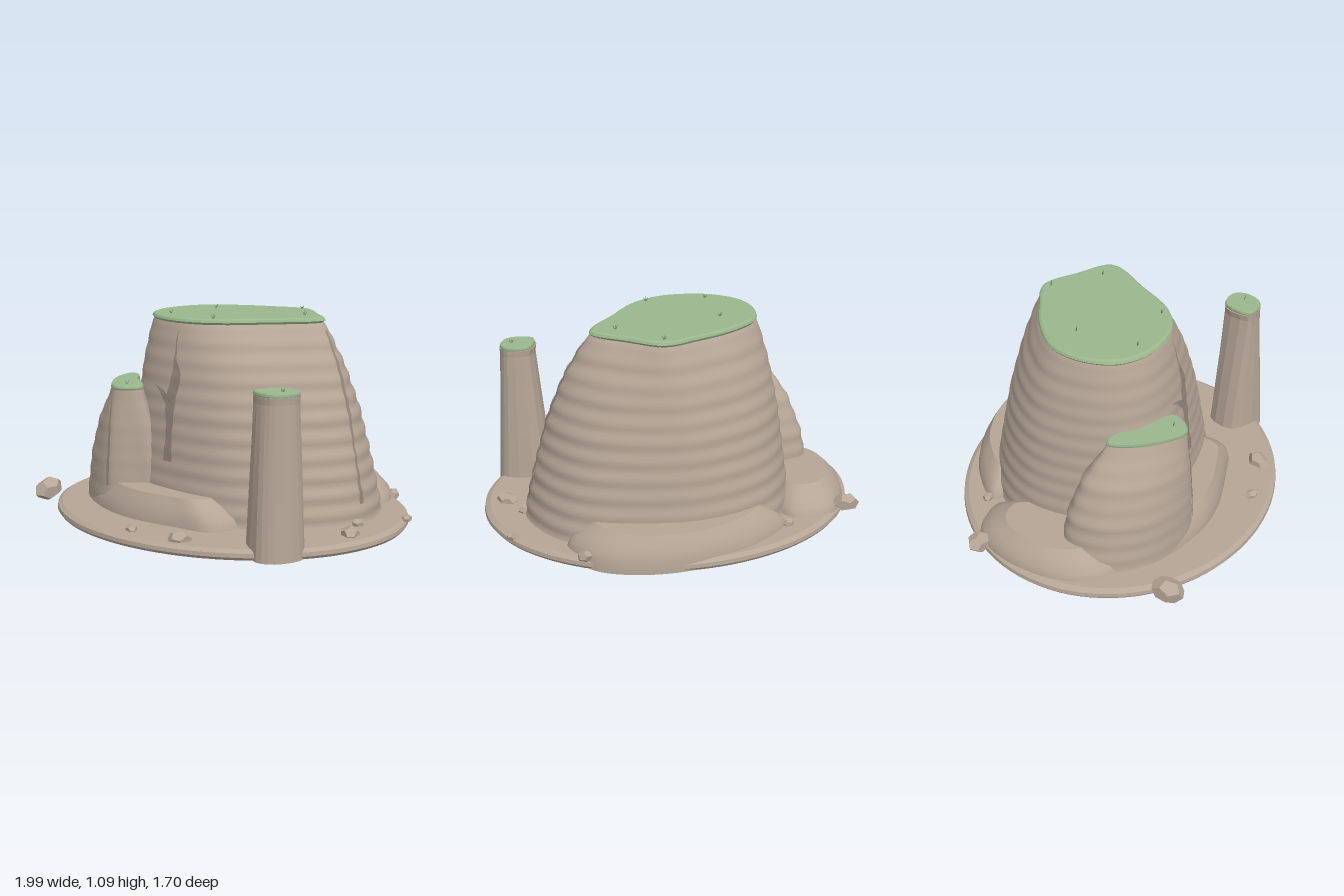
import * as THREE from 'three';

const rock = new THREE.MeshStandardMaterial({ color: 0xb5a596 });
rock.name = 'tan rock';
const moss = new THREE.MeshStandardMaterial({ color: 0x9ab68c });
moss.name = 'pale green grass';
const shade = new THREE.MeshStandardMaterial({ color: 0x94867a, side: THREE.DoubleSide });
shade.name = 'crack brown';
const blade = new THREE.MeshStandardMaterial({ color: 0x6b8560 });
blade.name = 'grass blade green';

// A closed outline of [x, z] points, counter-clockwise seen from above
const outline = pts => new THREE.CatmullRomCurve3(
  pts.map(([x, z]) => new THREE.Vector3(x, 0, z)), true, 'centripetal');

// Builds a blend between a top and a bottom outline; profile is [y, spread] from low to high
function makeWall(top, bottom, profile, ripple = 0) {
  const a = outline(top), b = outline(bottom);
  const spread = y => {
    let i = 1;
    while (i < profile.length - 1 && y > profile[i][0]) i++;
    const [y0, f0] = profile[i - 1], [y1, f1] = profile[i];
    const edge = Math.min(1, (profile.at(-1)[0] - y) * 10);
    return f0 + (f1 - f0) * (y - y0) / (y1 - y0) + ripple * edge * Math.sin(y * 68);
  };
  const at = (u, y) => {
    const t = ((u % 1) + 1) % 1;
    return a.getPoint(t).lerp(b.getPoint(t), spread(y)).setY(y);
  };
  return { at, low: profile[0][0], high: profile.at(-1)[0], levels: profile.map(p => p[0]) };
}

// Skins a wall with rings and closes both ends
function skin(wall, sides, steps = 0, flat = false) {
  const ys = steps
    ? Array.from({ length: steps + 1 }, (_, j) => wall.low + (wall.high - wall.low) * j / steps)
    : wall.levels;
  const pos = [], idx = [];
  const ring = y => {
    const start = pos.length / 3;
    for (let i = 0; i < sides; i++) pos.push(...wall.at(i / sides, y).toArray());
    return start;
  };
  const starts = ys.map(ring);
  for (let j = 0; j + 1 < ys.length; j++) for (let i = 0; i < sides; i++) {
    const k = (i + 1) % sides, l = starts[j], h = starts[j + 1];
    idx.push(l + i, l + k, h + k, l + i, h + k, h + i);
  }
  for (const [y, up] of [[wall.low, false], [wall.high, true]]) {
    const s = ring(y), c = new THREE.Vector3();
    for (let i = 0; i < sides; i++) c.add(wall.at(i / sides, y));
    c.divideScalar(sides);
    pos.push(c.x, y, c.z);
    for (let i = 0; i < sides; i++) {
      const k = (i + 1) % sides;
      if (up) idx.push(s + sides, s + i, s + k);
      else idx.push(s + sides, s + k, s + i);
    }
  }
  let g = new THREE.BufferGeometry();
  g.setAttribute('position', new THREE.Float32BufferAttribute(pos, 3));
  g.setIndex(idx);
  if (flat) g = g.toNonIndexed();
  g.computeVertexNormals();
  return g;
}

// A thin strip lying on a wall; points are [u, y, half width in u]
function crack(wall, points, lift = 0.006) {
  const pos = [], idx = [];
  const curve = new THREE.CatmullRomCurve3(points.map(p => new THREE.Vector3(...p)));
  const n = 24;
  for (let i = 0; i <= n; i++) {
    const p = curve.getPoint(i / n);
    for (const s of [-1, 1]) {
      const u = p.x + s * Math.max(p.z, 0.0005);
      const q = wall.at(u, p.y);
      const t = wall.at(u + 0.005, p.y).sub(wall.at(u - 0.005, p.y)).normalize();
      pos.push(q.x - t.z * lift, q.y, q.z + t.x * lift);
    }
    if (i < n) { const k = i * 2; idx.push(k, k + 1, k + 3, k, k + 3, k + 2); }
  }
  const g = new THREE.BufferGeometry();
  g.setAttribute('position', new THREE.Float32BufferAttribute(pos, 3));
  g.setIndex(idx);
  g.computeVertexNormals();
  return g;
}

export function createModel() {
  const model = new THREE.Group();
  const add = (name, geometry, material = rock) => {
    const m = new THREE.Mesh(geometry, material);
    m.name = name;
    model.add(m);
    return m;
  };
  const grow = (pts, s) => {
    const cx = pts.reduce((t, p) => t + p[0], 0) / pts.length;
    const cz = pts.reduce((t, p) => t + p[1], 0) / pts.length;
    return pts.map(([x, z]) => [cx + (x - cx) * s, cz + (z - cz) * s]);
  };
  const lawn = (name, pts, y, h, sides) => add(name, skin(makeWall(grow(pts, 0.97), grow(pts, 1.02),
    [[y, 0.5], [y + h * 0.4, 1], [y + h * 0.8, 0.7], [y + h, 0]]), sides, 0, true), moss);

  // Ground slab
  const rim = Array.from({ length: 16 }, (_, i) => {
    const a = i / 16 * Math.PI * 2;
    return [Math.cos(a) * 0.995, -Math.sin(a) * 0.85];
  });
  add('groundSlab', skin(makeWall(grow(rim, 0.97), rim,
    [[0, 0.6], [0.015, 1], [0.035, 0.9], [0.05, 0]]), 96, 0, true));

  // Main rock with layered walls
  const mainTop = [[0.46, -0.18], [0.32, -0.34], [0.17, -0.47], [-0.02, -0.43], [-0.2, -0.37], [-0.38, -0.25],
    [-0.45, -0.08], [-0.43, 0.1], [-0.3, 0.23], [-0.08, 0.28], [0.1, 0.22], [0.28, 0.04]];
  const mainBase = [[0.78, -0.08], [0.64, -0.45], [0.15, -0.66], [-0.15, -0.65], [-0.38, -0.55], [-0.55, -0.35],
    [-0.6, -0.1], [-0.55, 0.15], [-0.4, 0.32], [-0.1, 0.41], [0.3, 0.4], [0.62, 0.2]];
  const main = makeWall(mainTop, mainBase, [[0.02, 1.1], [0.18, 1], [0.35, 0.88], [0.6, 0.68],
    [0.82, 0.42], [0.97, 0.16], [1.02, 0.05], [1.04, -0.02]], 0.015);
  add('mainRock', skin(main, 96, 60));
  lawn('mainGrass', mainTop, 1.035, 0.03, 60);

  // Side terrace
  const sideTop = [[-0.3, 0.36], [-0.46, 0.22], [-0.55, 0.11], [-0.61, 0.1], [-0.6, 0.2], [-0.53, 0.34],
    [-0.42, 0.45], [-0.35, 0.43]];
  const sideBase = [[-0.2, 0.35], [-0.3, 0.1], [-0.5, -0.1], [-0.78, -0.1], [-0.84, 0.1], [-0.72, 0.35],
    [-0.43, 0.5], [-0.28, 0.42]];
  const side = makeWall(sideTop, sideBase, [[0.02, 1.02], [0.1, 0.97], [0.3, 0.82], [0.5, 0.5],
    [0.62, 0.15], [0.68, 0]], 0.012);
  add('sideTerrace', skin(side, 64, 36));
  lawn('terraceGrass', sideTop, 0.675, 0.028, 40);

  // Low ledge in front and rubble slopes at the left and back
  const mound = [[0, 1.03], [0.05, 1], [0.1, 0.85], [0.14, 0.5], [0.17, 0.2], [0.19, 0]];
  const slope = (name, base, size, height) => add(name,
    skin(makeWall(grow(base, size), base, mound.map(([y, f]) => [y * height / 0.19, f])), 56));
  slope('frontLedge', [[0.36, 0.36], [0, 0.26], [-0.4, 0.3], [-0.66, 0.38], [-0.43, 0.53], [-0.2, 0.585],
    [0.1, 0.57], [0.3, 0.53]], 0.68, 0.19);
  slope('leftRubble', [[-0.45, -0.2], [-0.5, -0.55], [-0.7, -0.57], [-0.86, -0.4], [-0.95, -0.1], [-0.9, 0.12],
    [-0.75, 0.22], [-0.5, 0.05]], 0.62, 0.17);
  slope('backRubble', [[0.68, -0.45], [0.6, -0.68], [0.38, -0.8], [0.1, -0.83], [-0.22, -0.76], [-0.45, -0.58],
    [-0.1, -0.45], [0.3, -0.4]], 0.74, 0.18);

  // Free-standing pillar
  const pillarBase = [[0.82, 0.5], [0.79, 0.42], [0.59, 0.37], [0.51, 0.51], [0.67, 0.65], [0.76, 0.62]];
  const pillarTop = [[0.785, 0.5], [0.76, 0.43], [0.645, 0.42], [0.585, 0.56], [0.66, 0.6], [0.73, 0.59]];
  add('pillar', skin(makeWall(pillarTop, pillarBase,
    [[0, 1], [0.3, 0.62], [0.6, 0.22], [0.75, 0.03], [0.785, 0.1]]), 18, 0, true));
  lawn('pillarGrass', pillarTop, 0.782, 0.024, 18);

  // Cracks along the walls
  add('frontCrack', crack(main, [[0.743, 1.0, 0.001], [0.748, 0.86, 0.003], [0.754, 0.78, 0.009],
    [0.748, 0.65, 0.01], [0.75, 0.48, 0.006], [0.75, 0.33, 0.008]]), shade);
  add('branchCrack', crack(main, [[0.708, 0.71, 0.001], [0.725, 0.69, 0.006], [0.745, 0.62, 0.006]]), shade);
  add('rightCrack', crack(main, [[0, 1.0, 0.003], [0.001, 0.7, 0.004], [0, 0.4, 0.002], [0.001, 0.15, 0.004]]), shade);
  add('terraceCrack', crack(side, [[0.75, 0.62, 0.003], [0.752, 0.4, 0.006], [0.75, 0.17, 0.004]]), shade);

  // Loose stones: x, z, radius, height of centre
  const stones = [[-0.82, -0.53, 0.065, 0.08], [-0.89, 0.49, 0.08, 0.075], [-0.45, -0.62, 0.03, 0.06],
    [0.64, -0.63, 0.04, 0.06], [0.8, -0.03, 0.035, 0.06], [0.86, 0.13, 0.055, 0.055],
    [0.26, 0.72, 0.06, 0.055], [-0.04, 0.74, 0.035, 0.055], [0.93, -0.29, 0.028, 0.05]];
  stones.forEach(([x, z, r, y], i) => {
    const g = new THREE.DodecahedronGeometry(r);
    g.scale(1.1, 0.75, 0.9);
    const s = add('stone', g);
    s.position.set(x, y, z);
    s.rotation.set(i * 0.3 % 0.5, i * 1.7, 0);
  });

  // Tiny grass tufts
  const tufts = [[-0.27, 0.16, 1.065], [-0.23, -0.17, 1.065], [0.16, -0.43, 1.065], [0.34, -0.2, 1.065],
    [0.05, 0.2, 1.065], [-0.39, 0.38, 0.7], [0.72, 0.51, 0.805]];
  for (const [x, z, y] of tufts) for (const lean of [-0.4, 0, 0.4]) {
    const b = add('grassBlade', new THREE.ConeGeometry(0.003, 0.028, 4), blade);
    b.position.set(x - lean * 0.02, y + 0.01, z);
    b.rotation.z = lean;
  }
  return model;
}
